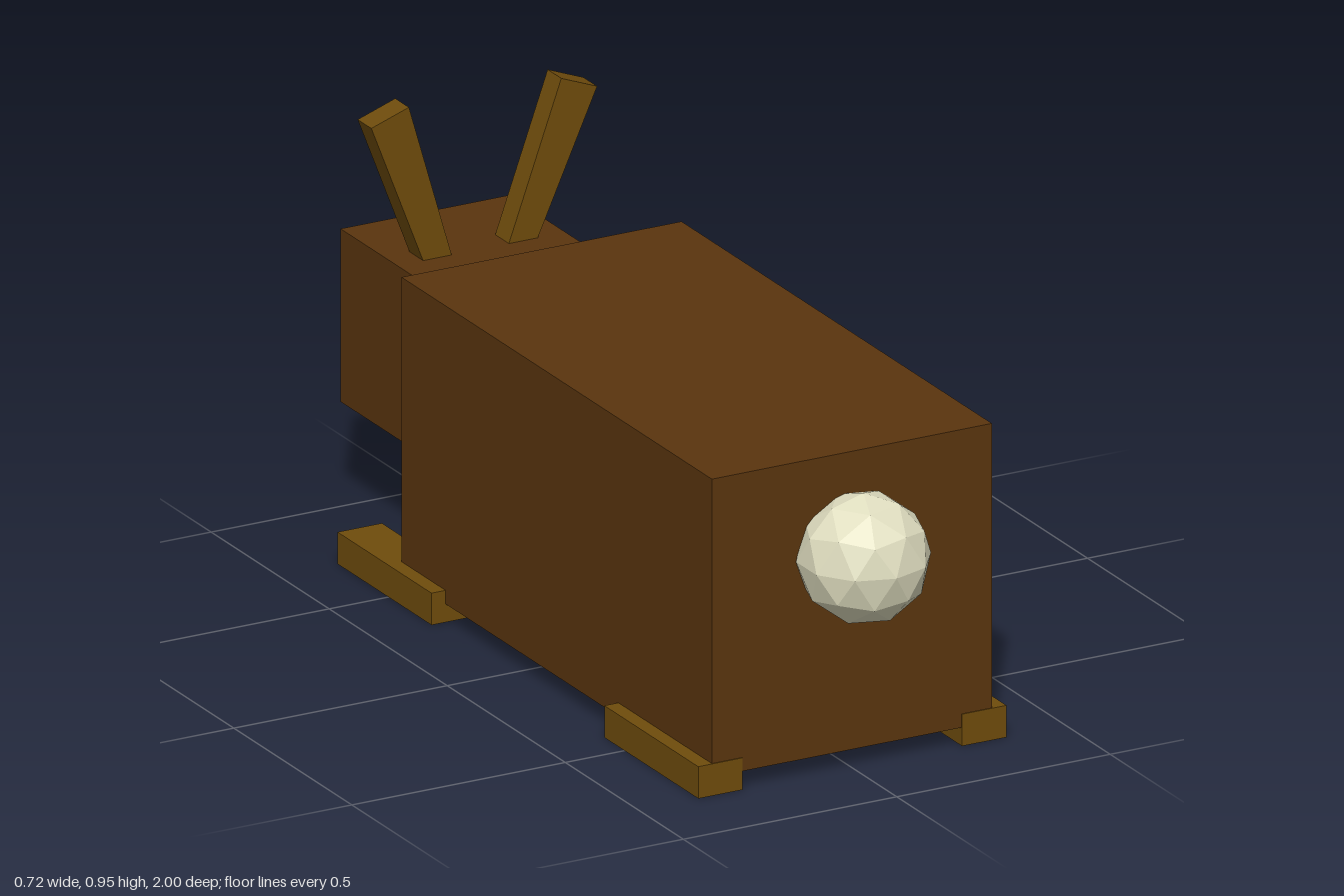
import * as THREE from 'three';

const mat = (color) => new THREE.MeshStandardMaterial({ color, flatShading: true });

// Skin a row of rectangles [z, halfWidth, bottom, top], ordered back to front
function loftRects(sections) {
  const pos = [], idx = [];
  for (const [z, w, b, t] of sections) pos.push(-w, b, z, w, b, z, w, t, z, -w, t, z);
  const last = (sections.length - 1) * 4;
  for (let s = 0; s < last; s += 4) {
    for (let i = 0; i < 4; i++) {
      const a = s + i, b = s + (i + 1) % 4;
      idx.push(a, b, b + 4, a, b + 4, a + 4);
    }
  }
  idx.push(0, 2, 1, 0, 3, 2, last, last + 1, last + 2, last, last + 2, last + 3);
  const g = new THREE.BufferGeometry();
  g.setAttribute('position', new THREE.Float32BufferAttribute(pos, 3));
  g.setIndex(idx);
  const flat = g.toNonIndexed();
  flat.computeVertexNormals();
  return flat;
}

export function createModel() {
  const model = new THREE.Group();
  const add = (name, geometry, material, x = 0, y = 0, z = 0) => {
    const mesh = new THREE.Mesh(geometry, material);
    mesh.name = name;
    mesh.position.set(x, y, z);
    model.add(mesh);
    return mesh;
  };
  const brown = mat(0x5a350e), tan = mat(0x6f4c0c), cream = mat(0xe0dec0);

  // Body, tapered neck and head in one skin
  add('bodyAndHead', loftRects([
    [-1, 0.197, 0.23, 0.61],
    [-0.64, 0.197, 0.23, 0.61],
    [-0.505, 0.328, 0.04, 0.695],
    [0.81, 0.328, 0.04, 0.695],
  ]), brown);

  // Ears: slightly flared slabs leaning outwards
  const ears = {
    rightEar: [[-0.129, 0.59], [-0.064, 0.59], [-0.17, 0.953], [-0.258, 0.923]],
    leftEar: [[0.057, 0.59], [0.123, 0.59], [0.271, 0.917], [0.187, 0.95]],
  };
  for (const [name, corners] of Object.entries(ears)) {
    const shape = new THREE.Shape(corners.map(([x, y]) => new THREE.Vector2(x, y)));
    add(name, new THREE.ExtrudeGeometry(shape, { depth: 0.058, bevelEnabled: false }), tan, 0, 0, -0.817);
  }

  // Four flat feet
  const foot = new THREE.BoxGeometry(0.104, 0.07, 0.398);
  for (const [side, x] of [['left', 0.309], ['right', -0.309]]) {
    add(side + 'FootNearTail', foot, tan, x, 0.035, 0.613);
    add(side + 'FootNearHead', foot, tan, x, 0.035, -0.517);
  }

  // Faceted round tail with a vertex pointing straight up
  const ball = new THREE.IcosahedronGeometry(0.141, 1);
  ball.rotateZ(Math.atan(2 / (1 + Math.sqrt(5))));
  add('tail', ball, cream, 0, 0.479, 0.859);

  return model;
}
